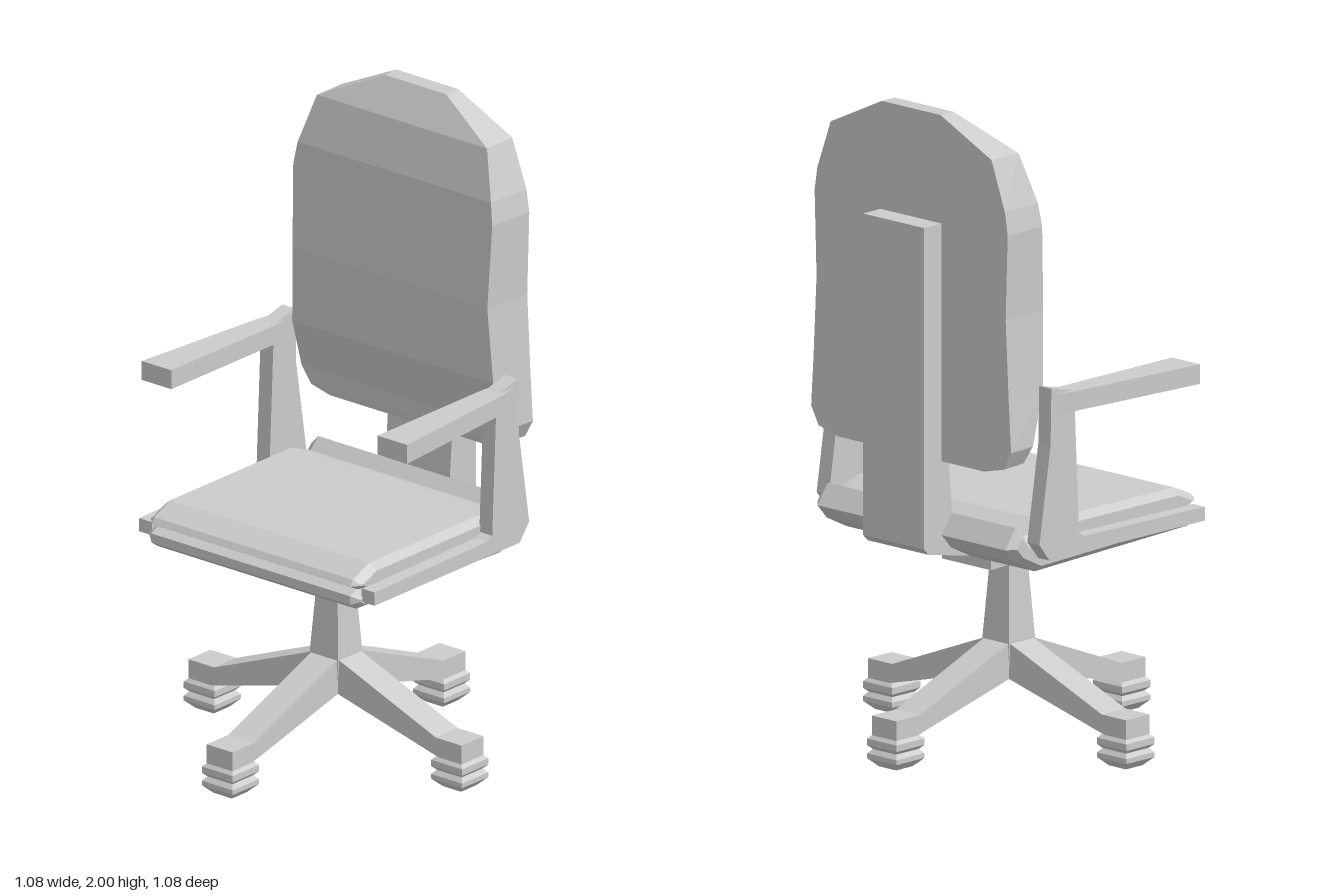
import * as THREE from 'three';

const material = new THREE.MeshStandardMaterial({ color: 0xcccccc, flatShading: true });

function add(parent, name, geometry) {
  const mesh = new THREE.Mesh(geometry, material);
  mesh.name = name;
  parent.add(mesh);
  return mesh;
}

const outline = (points) => new THREE.Shape(points.map(([x, y]) => new THREE.Vector2(x, y)));

// side profile (x, y) extruded from z0 to z1
function prism(points, z0, z1) {
  const g = new THREE.ExtrudeGeometry(outline(points), { depth: z1 - z0, bevelEnabled: false });
  return g.translate(0, 0, z0);
}

// square-sectioned turned shape: profile of [half width, y], bottom to top
function squareLathe(profile) {
  const pts = profile.map(([w, y]) => new THREE.Vector2(w * Math.SQRT2, y));
  return new THREE.LatheGeometry(pts, 4, Math.PI / 4);
}

// cushion rows from top to bottom: [y, front x, half width]; the back is flat
function backrestGeometry() {
  const rows = [
    [2.0, 0.36, 0.12], [1.9, 0.3, 0.33], [1.75, 0.265, 0.375], [1.68, 0.258, 0.386],
    [1.42, 0.245, 0.378], [1.18, 0.258, 0.39], [1.02, 0.312, 0.4], [0.965, 0.32, 0.37], [0.945, 0.325, 0.3],
  ];
  const pos = [], index = [];
  for (const [y, x, w] of rows) {
    const back = w + (w > 0.35 ? 0.01 : 0);
    pos.push(x, y, -w, x, y, w, 0.415, y, back, 0.415, y, -back);
  }
  for (let r = 0; r < rows.length - 1; r++) {
    for (let k = 0; k < 4; k++) {
      const a = r * 4 + k, b = r * 4 + ((k + 1) % 4);
      index.push(a, a + 4, b, b, a + 4, b + 4);
    }
  }
  const n = (rows.length - 1) * 4;
  index.push(0, 1, 2, 0, 2, 3, n, n + 2, n + 1, n, n + 3, n + 2);
  const g = new THREE.BufferGeometry();
  g.setAttribute('position', new THREE.Float32BufferAttribute(pos, 3));
  g.setIndex(index);
  g.computeVertexNormals();
  return g;
}

export function createModel() {
  const chair = new THREE.Group();
  chair.name = 'officeChair';

  // four-legged base with casters
  const legProfile = [
    [0, 0.31], [0.05, 0.31], [0.43, 0.16], [0.53, 0.16],
    [0.53, 0.1], [0.44, 0.1], [0.05, 0.2], [0, 0.21],
  ];
  const casterProfile = [
    [0, 0], [0.035, 0.005], [0.06, 0.03], [0.06, 0.045], [0.048, 0.058],
    [0.06, 0.07], [0.06, 0.09], [0.05, 0.1], [0, 0.1],
  ];
  for (let i = 0; i < 4; i++) {
    const arm = new THREE.Group();
    arm.name = 'baseLeg';
    arm.rotation.y = (i * Math.PI) / 2;
    add(arm, 'leg', prism(legProfile, -0.05, 0.05));
    add(arm, 'caster', squareLathe(casterProfile)).position.x = 0.48;
    chair.add(arm);
  }

  // column and seat mount
  add(chair, 'column', squareLathe([[0, 0.2], [0.048, 0.2], [0.055, 0.31], [0.036, 0.6], [0, 0.6]]));
  add(chair, 'seatMount', prism([[-0.185, 0.575], [0.18, 0.565], [0.18, 0.66], [-0.185, 0.66]], -0.1, 0.1));

  // seat with a grooved front edge and chamfered sides
  const seat = new THREE.ExtrudeGeometry(outline([
    [-0.36, 0.652], [0.29, 0.633], [0.375, 0.675], [0.415, 0.72], [0.37, 0.78], [0.335, 0.745], [0.25, 0.78],
    [-0.3, 0.78], [-0.375, 0.748], [-0.388, 0.73], [-0.36, 0.715], [-0.388, 0.7], [-0.388, 0.672],
  ]), { depth: 0.77, bevelThickness: 0.025, bevelSize: 0.02, bevelOffset: -0.02, bevelSegments: 1 });
  add(chair, 'seat', seat.translate(0, 0, -0.385));

  // backrest cushion and its support bracket
  add(chair, 'backrest', backrestGeometry());
  add(chair, 'backSupport', prism([
    [0.415, 1.67], [0.49, 1.67], [0.49, 0.69], [0.47, 0.67], [0.29, 0.634],
    [0.33, 0.7], [0.37, 0.77], [0.385, 0.95], [0.415, 0.95],
  ], -0.125, 0.125));

  // side rails with uprights, and armrests widening to the front
  const railProfile = [
    [-0.36, 0.68], [0.3, 0.68], [0.343, 0.735], [0.296, 1.03], [0.292, 1.203],
    [0.195, 1.18], [0.175, 0.74], [0.15, 0.728], [-0.36, 0.722],
  ];
  for (const side of [-1, 1]) {
    const name = side > 0 ? 'left' : 'right';
    add(chair, name + 'ArmUpright', prism(railProfile, side * 0.432 - 0.025, side * 0.432 + 0.025));
    const pad = new THREE.ExtrudeGeometry(
      outline([[-0.28, 0.4], [0.2, 0.4], [0.28, 0.41], [0.28, 0.458], [0.2, 0.473], [-0.28, 0.515]]
        .map(([x, z]) => [x, z * side])),
      { depth: 0.06, bevelEnabled: false },
    );
    add(chair, name + 'Armrest', pad.rotateX(Math.PI / 2).translate(0, 1.182, 0));
  }
  return chair;
}
